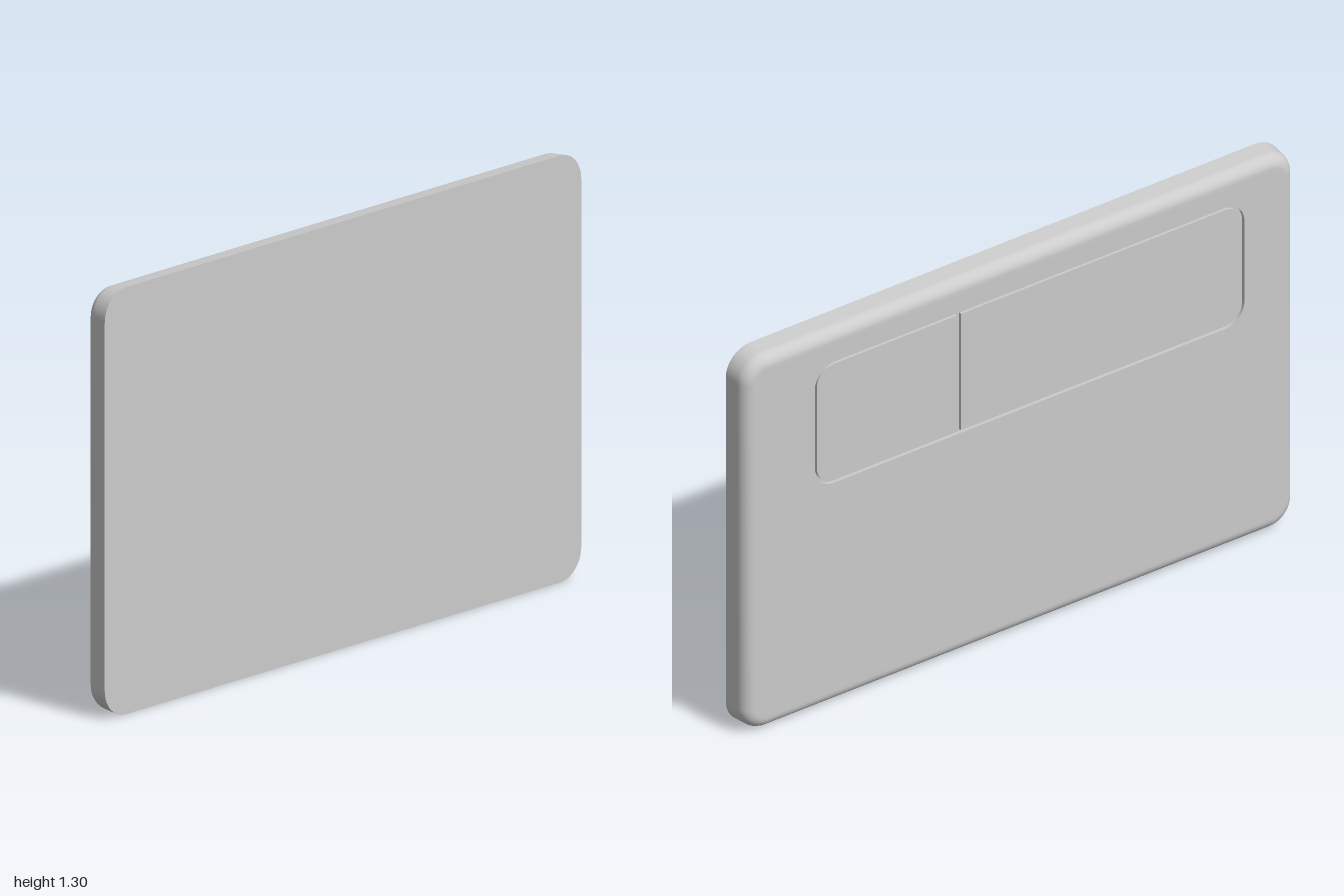
import * as THREE from 'three';

const W = 2, H = 1.305, HALF = 0.0425, R = 0.09;

// Outline of a rounded rectangle, counter-clockwise; radii = [right-bottom, right-top, left-top, left-bottom]
function outline(u0, u1, v0, v1, radii, steps = 10) {
  const centres = [[u1, v0, -1, 1], [u1, v1, -1, -1], [u0, v1, 1, -1], [u0, v0, 1, 1]];
  const pts = [];
  centres.forEach(([u, v, su, sv], k) => {
    const r = radii[k];
    const n = r > 0 ? steps : 0;
    for (let i = 0; i <= n; i++) {
      const a = (k - 1 + (n ? i / n : 0)) * Math.PI / 2;
      pts.push(new THREE.Vector2(u + su * r + r * Math.cos(a), v + sv * r + r * Math.sin(a)));
    }
  });
  return pts;
}

const bodyOutline = (inset) => {
  const r = Math.max(R - inset, 0.02);
  return outline(-W / 2 + inset, W / 2 - inset, inset, H - inset, [r, r, r, r]);
};

// Skin between matching outlines, each given as { pts, w }
function loft(rings) {
  const n = rings[0].pts.length, pos = [], idx = [];
  rings.forEach(({ pts, w }) => pts.forEach((p) => pos.push(p.x, p.y, w)));
  for (let j = 0; j < rings.length - 1; j++) {
    for (let i = 0; i < n; i++) {
      const a = j * n + i, b = j * n + (i + 1) % n;
      idx.push(a, b, b + n, a, b + n, a + n);
    }
  }
  const g = new THREE.BufferGeometry();
  g.setAttribute('position', new THREE.Float32BufferAttribute(pos, 3));
  g.setIndex(idx);
  g.computeVertexNormals();
  return g;
}

export function createModel() {
  const group = new THREE.Group();
  group.name = 'tablet';
  const material = new THREE.MeshStandardMaterial({ color: 0xcccccc });
  const add = (name, geometry, w = 0) => {
    const mesh = new THREE.Mesh(geometry, material);
    mesh.name = name;
    mesh.position.z = w;
    group.add(mesh);
    return mesh;
  };

  // Slightly tapered rim that rolls over into the back
  const fillet = 0.04;
  const rings = [{ pts: bodyOutline(0), w: -HALF }];
  for (let i = 0; i <= 10; i++) {
    const a = (i / 10) * Math.PI / 2;
    rings.push({
      pts: bodyOutline(0.005 + fillet * (1 - Math.cos(a))),
      w: HALF - fillet + fillet * Math.sin(a),
    });
  }
  const backEdge = bodyOutline(0.055);
  rings.push({ pts: backEdge, w: HALF });
  add('rim', loft(rings));

  // Flat screen side
  const screen = new THREE.ShapeGeometry(new THREE.Shape(bodyOutline(0)));
  screen.rotateY(Math.PI);
  add('screen', screen, -HALF);

  // Back face with a shallow pocket for the cover plates
  const u0 = -0.74, u1 = 0.81, v0 = 0.77, v1 = 1.19, pr = 0.07, depth = 0.012;
  const pocket = outline(u0, u1, v0, v1, [pr, pr, pr, pr]);
  const back = new THREE.Shape(backEdge);
  back.holes.push(new THREE.Path(pocket));
  add('backFace', new THREE.ShapeGeometry(back), HALF);
  add('pocketWall', loft([{ pts: pocket, w: HALF }, { pts: pocket, w: HALF - depth }]));
  add('pocketFloor', new THREE.ShapeGeometry(new THREE.Shape(pocket)), HALF - depth);

  // Two cover plates, parted by a narrow groove
  const gap = 0.008, split = -0.22, r = pr - gap;
  const plate = (name, a, b, radii) => add(name, new THREE.ExtrudeGeometry(
    new THREE.Shape(outline(a, b, v0 + gap, v1 - gap, radii)),
    { depth: depth - 0.001, bevelEnabled: false },
  ), HALF - depth);
  plate('smallCoverPlate', u0 + gap, split - gap, [0, 0, r, r]);
  plate('largeCoverPlate', split + gap, u1 - gap, [r, r, 0, 0]);

  // Turn the back towards -x
  group.rotation.y = -Math.PI / 2;
  const model = new THREE.Group();
  model.name = 'model';
  model.add(group);
  return model;
}
